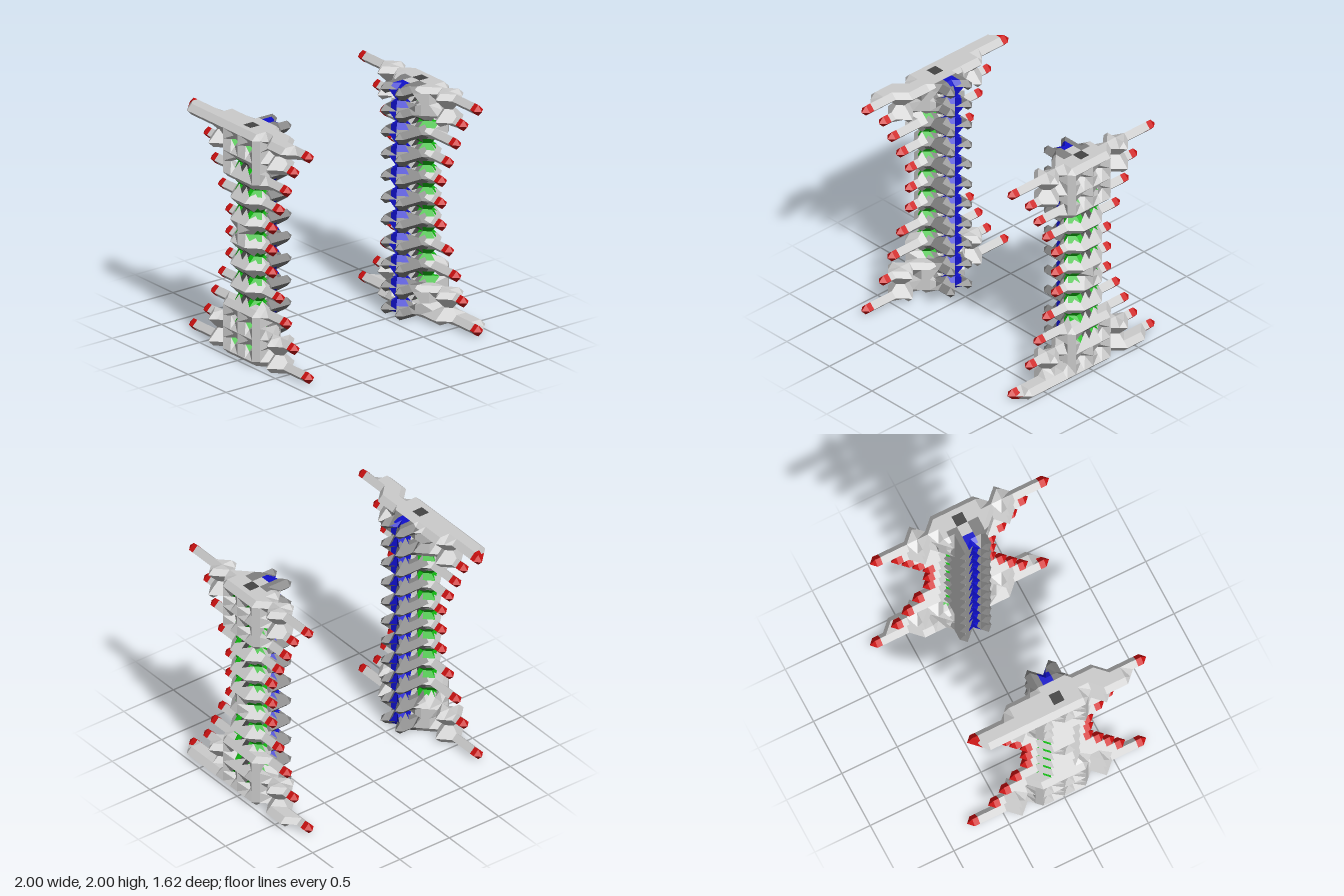
import * as THREE from 'three';

const S = 2 / 21; // lattice spacing
const LOOKS = {
  lightRibs: 0xcccccc,
  innerProngs: 0x808080,
  darkCore: 0x444444,
  greenColumns: 0x0fbb0f,
  blueColumn: 0x1010cc,
  redTips: 0xcc1010,
};

// Lattice of one tower: c = column counted inwards, y = layer, k = depth
function fillTower() {
  const cells = new Map();
  const put = (c, y, k, part) => cells.set([10 - c, y, k].join(), part);
  const row = (c, y, k0, k1, part = 'lightRibs') => {
    for (let k = k0; k <= k1; k++) put(c, y, k, part);
  };
  const reach = [8, 6, 5, 4, 3, 3, 3, 4, 5, 6, 8];

  // ribs with red tips and forked inner prongs on every second layer
  reach.forEach((n, i) => {
    const y = i * 2;
    row(1, y, -n, n);
    put(1, y, -n, 'redTips');
    put(1, y, n, 'redTips');
    const w = n === 6 ? 2 : 1;
    row(0, y, -w, w);
    row(2, y, -w, w);
    for (const k of [-1, 1]) {
      for (const c of [3, 4]) put(c, y, k, 'innerProngs');
      put(2, y, k, 'innerProngs');
    }
  });

  // base slab, with one notch in its outer edge
  row(0, 0, -6, 7);
  row(2, 0, -4, 4);
  cells.delete([10, 0, -3].join());
  for (const k of [-1, 1]) put(2, 0, k, 'lightRibs');

  // bumps on the top bar
  for (const k of [-4, -2, 2, 4]) {
    put(0, 20, k, 'lightRibs');
    put(2, 20, k, 'lightRibs');
  }

  // struts bracing the long end ribs
  for (const flip of [(y) => y, (y) => 20 - y]) {
    for (const k of [-4, 4]) {
      row(0, flip(2), k, k);
      row(2, flip(2), k, k);
      row(1, flip(1), k, k);
    }
    for (const k of [-2, 2]) {
      for (const y of [1, 2, 3, 4]) put(0, flip(y), k, 'lightRibs');
      put(2, flip(1), k, 'lightRibs');
      put(1, flip(1), k, 'lightRibs');
    }
  }

  // outer spine plates
  for (const y of [1, 2, 9, 16, 17, 18, 19, 20]) put(0, y, 0, 'lightRibs');

  // vertical columns
  for (let y = 0; y <= 20; y++) {
    put(1, y, 0, 'darkCore');
    put(3, y, 0, 'blueColumn');
    if (y % 2) for (const k of [-1, 1]) put(1, y, k, 'greenColumns');
  }
  return cells;
}

// Corner loops of the six faces of a unit cube, counter-clockwise from outside
const FACES = [];
for (let a = 0; a < 3; a++) {
  for (const s of [0, 1]) {
    const loop = [[0, 0], [1, 0], [1, 1], [0, 1]].map(([u, v]) => {
      const p = [0, 0, 0];
      p[a] = s;
      p[(a + 1) % 3] = u;
      p[(a + 2) % 3] = v;
      return p;
    });
    FACES.push(s ? loop : loop.reverse());
  }
}
const mid = (p, q) => p.map((v, i) => (v + q[i]) / 2);

// Bevelled surface polygons inside the cube between eight lattice points
function cubeLoops(isSolid) {
  const next = new Map();
  for (const face of FACES) {
    for (let i = 0; i < 4; i++) {
      if (!isSolid(face[i]) || isSolid(face[(i + 3) % 4])) continue;
      let j = i;
      while (isSolid(face[(j + 1) % 4])) j++;
      next.set(mid(face[(i + 3) % 4], face[i]).join(), mid(face[j % 4], face[(j + 1) % 4]).join());
    }
  }
  const loops = [];
  while (next.size) {
    const loop = [];
    let e = next.keys().next().value;
    while (next.has(e)) {
      loop.push(e.split(',').map(Number));
      const n = next.get(e);
      next.delete(e);
      e = n;
    }
    loops.push(loop);
  }
  return loops;
}

// Keep the half of a polygon on one side of the middle plane of an axis
function clip(poly, axis, sign) {
  const out = [];
  poly.forEach((p, i) => {
    const q = poly[(i + 1) % poly.length];
    const dp = (p[axis] - 0.5) * sign, dq = (q[axis] - 0.5) * sign;
    if (dp >= 0) out.push(p);
    if (dp * dq < 0) out.push(p.map((v, n) => v + ((q[n] - v) * dp) / (dp - dq)));
  });
  return out;
}

function splitAtMiddle(poly) {
  let pieces = [poly];
  for (let axis = 0; axis < 3; axis++) {
    pieces = pieces.flatMap((p) => {
      if (p.every((v) => v[axis] >= 0.5) || p.every((v) => v[axis] <= 0.5)) return [p];
      return [clip(p, axis, 1), clip(p, axis, -1)];
    });
  }
  return pieces.filter((p) => p.length > 2);
}

function buildTower(name, flip) {
  const cells = fillTower();
  const buckets = {};
  const corners = [0, 1, 2, 3, 4, 5, 6, 7].map((n) => [n & 1, (n >> 1) & 1, n >> 2]);

  for (let x = 5; x <= 10; x++) for (let y = -1; y <= 20; y++) for (let z = -9; z <= 8; z++) {
    const at = (c) => cells.get([x + c[0], y + c[1], z + c[2]].join());
    const solid = corners.filter(at);
    if (!solid.length || solid.length === 8) continue;
    for (const loop of cubeLoops((c) => !!at(c))) {
      for (let i = 1; i < loop.length - 1; i++) {
        for (const piece of splitAtMiddle([loop[0], loop[i], loop[i + 1]])) {
          // each piece takes the colour of its nearest lattice point
          const m = [0, 1, 2].map((n) => piece.reduce((t, p) => t + p[n], 0) / piece.length);
          const dist = (c) => Math.hypot(c[0] - m[0], c[1] - m[1], c[2] - m[2]);
          const owner = at(solid.reduce((a, b) => (dist(b) < dist(a) - 1e-6 ? b : a)));
          const out = (buckets[owner] ??= []);
          const place = (p) => {
            const w = [(x + p[0]) * S, (y + p[1] + 0.5) * S, (z + p[2]) * S];
            return flip ? [-w[0], 2 - w[1], -w[2]] : w;
          };
          for (let j = 1; j < piece.length - 1; j++) {
            const tri = [piece[0], piece[j], piece[j + 1]].map(place);
            if (flip) tri.reverse();
            out.push(...tri.flat());
          }
        }
      }
    }
  }

  const tower = new THREE.Group();
  tower.name = name;
  for (const [part, points] of Object.entries(buckets)) {
    const geometry = new THREE.BufferGeometry();
    geometry.setAttribute('position', new THREE.Float32BufferAttribute(points, 3));
    geometry.computeVertexNormals();
    const mesh = new THREE.Mesh(geometry, new THREE.MeshStandardMaterial({ color: LOOKS[part], flatShading: true }));
    mesh.name = part;
    tower.add(mesh);
  }
  return tower;
}

export function createModel() {
  const model = new THREE.Group();
  model.name = 'twinTowers';
  // the right tower is the left one turned through the centre
  model.add(buildTower('leftTower', false), buildTower('rightTower', true));
  return model;
}
